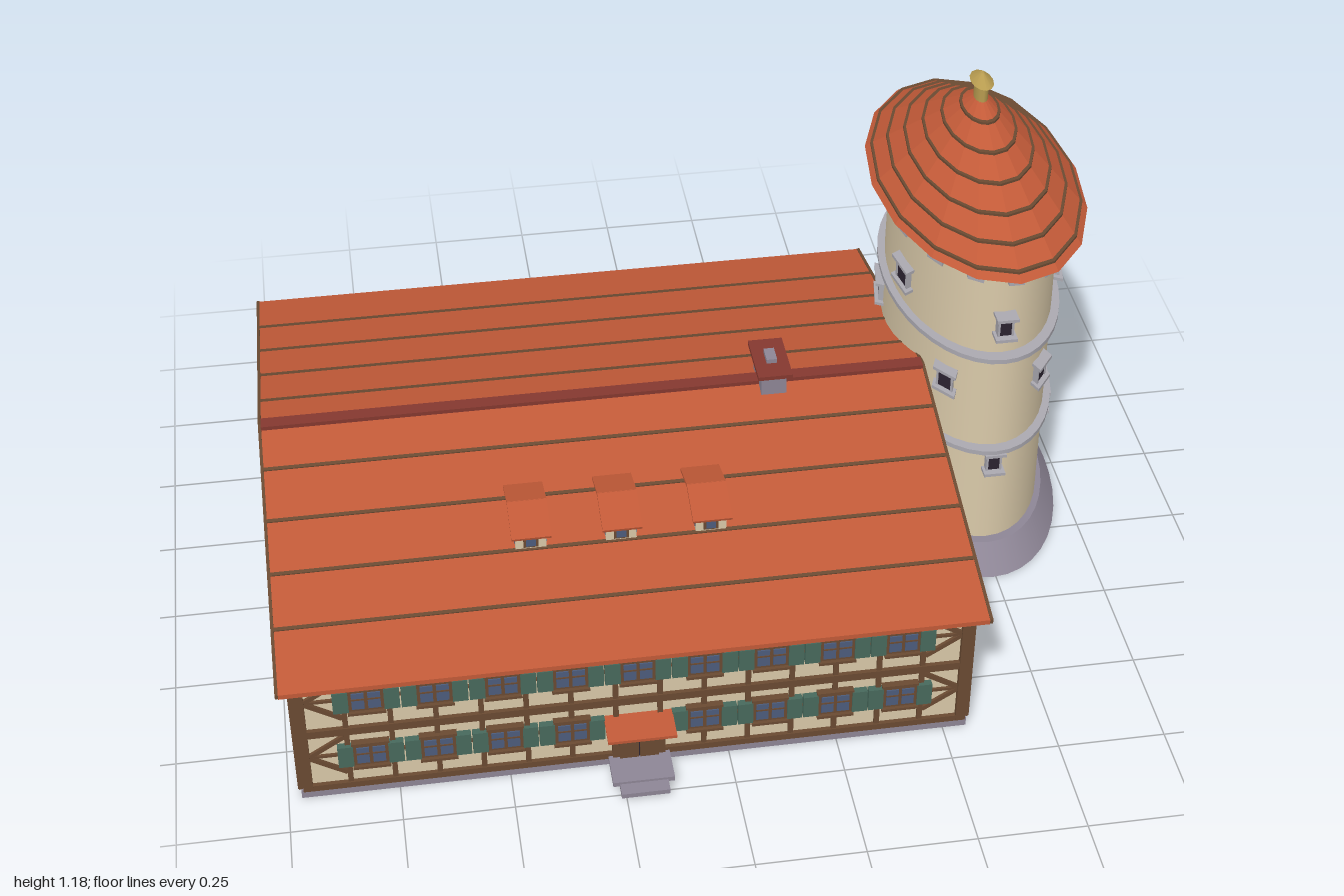
import * as THREE from 'three';

const mat = (name, color) => {
  const m = new THREE.MeshStandardMaterial({ color });
  m.name = name;
  return m;
};
const M = {
  wall: mat('cream plaster', 0xd8c8a8),
  timber: mat('brown timber', 0x6a4a32),
  roof: mat('terracotta tile', 0xc25a38),
  ridge: mat('dark red tile', 0x84382f),
  line: mat('tile course shadow brown', 0x5c2a1c),
  stone: mat('grey stone', 0x8d8595),
  trim: mat('light stone', 0xaaa8b0),
  shutter: mat('green shutter', 0x47695c),
  glass: mat('blue glass', 0x4c5c7c),
  gold: mat('brass', 0xb89c50),
};
const DARK = M.dark = mat('dark opening', 0x2b2230);
M.line = M.timber; // tile courses share the timber brown

function add(parent, name, geo, material, x = 0, y = 0, z = 0) {
  const mesh = new THREE.Mesh(geo, material);
  mesh.name = name;
  mesh.position.set(x, y, z);
  parent.add(mesh);
  return mesh;
}
const box = (parent, name, material, w, h, d, x, y, z) =>
  add(parent, name, new THREE.BoxGeometry(w, h, d), material, x, y, z);
function group(parent, name) {
  const g = new THREE.Group();
  g.name = name;
  parent.add(g);
  return g;
}
// Bar between two points on a wall face
function brace(parent, x1, y1, x2, y2) {
  const len = Math.hypot(x2 - x1, y2 - y1);
  box(parent, 'brace', M.timber, len, 0.011, 0.01, (x1 + x2) / 2, (y1 + y2) / 2, 0.002)
    .rotation.z = Math.atan2(y2 - y1, x2 - x1);
}
const flat = (geo) => {
  const g = geo.toNonIndexed();
  g.computeVertexNormals();
  return g;
};

const X0 = -0.965, X1 = 0.55, CX = (X0 + X1) / 2, CZ = -0.04, HZ = 0.685;
const RIDGE = 0.53, SLOPE = 0.23;
const FLOORS = [0.122, 0.288];

// Double window with a shutter on each side
function shutteredWindow(parent, x, y, bay) {
  const g = group(parent, 'window');
  g.position.set(x, y, 0);
  const w = bay * 0.52, s = bay * 0.23;
  box(g, 'windowFrame', M.timber, w, 0.064, 0.02, 0, 0, 0.002);
  for (const k of [-1, 1]) {
    box(g, 'pane', M.glass, w * 0.36, 0.046, 0.004, k * w * 0.23, 0, 0.013);
    box(g, 'glazingBar', M.timber, w * 0.37, 0.004, 0.004, k * w * 0.23, 0.006, 0.0145);
    box(g, 'shutter', M.shutter, s, 0.06, 0.016, k * (w / 2 + s / 2), 0, 0.008);
  }
  box(g, 'sill', M.timber, w * 1.08, 0.007, 0.026, 0, -0.034, 0.007);
  box(g, 'lintel', M.timber, w * 1.08, 0.006, 0.022, 0, 0.034, 0.005);
}

// One timber-framed facade; local +z points outward
function facade(parent, name, length, bays, bay, posts, cornerW, hasDoor) {
  const g = group(parent, name);
  for (const [y, h] of [[0.03, 0.016], [0.195, 0.02], [0.35, 0.018]])
    box(g, 'beam', M.timber, length, h, 0.016, 0, y, 0.002);
  for (const y of FLOORS) box(g, 'rail', M.timber, length, 0.007, 0.01, 0, y, 0.001);
  for (const k of [-1, 1])
    box(g, 'cornerPost', M.timber, cornerW, 0.335, 0.02, k * (length / 2 - cornerW / 2), 0.1925, 0.002);
  for (let i = 0; i < posts; i++)
    box(g, 'post', M.timber, 0.012, 0.33, 0.012, (i - (posts - 1) / 2) * 0.1, 0.19, 0.001);
  // Fanned braces in the end bays
  if (posts) for (const k of [-1, 1]) for (const y of FLOORS) {
    const a = k * 0.655, b = k * 0.74;
    brace(g, b, y, a, y + 0.055);
    brace(g, b, y, a, y - 0.055);
  }
  for (let i = 0; i < bays; i++) for (const y of FLOORS) {
    const x = (i - (bays - 1) / 2) * bay;
    if (hasDoor && Math.abs(x) < 0.01 && y < 0.2) continue;
    shutteredWindow(g, x, y, bay);
  }
  return g;
}

function hall(root) {
  const g = group(root, 'hall');
  box(g, 'foundation', M.stone, X1 - X0 + 0.01, 0.024, 2 * HZ + 0.01, CX, 0.012, CZ);
  box(g, 'walls', M.wall, X1 - X0, 0.34, 2 * HZ, CX, 0.19, CZ);

  const L = X1 - X0;
  facade(g, 'frontFacade', L, 9, 0.15, 14, 0.022, true).position.set(CX, 0, CZ + HZ);
  const back = facade(g, 'backFacade', L, 9, 0.15, 14, 0.022, false);
  back.position.set(CX, 0, CZ - HZ);
  back.rotation.y = Math.PI;
  for (const k of [-1, 1]) {
    const side = facade(g, 'sideFacade', 2 * HZ, 4, 0.273, 0, 0.042, false);
    side.position.set(k < 0 ? X0 : X1, 0, CZ);
    side.rotation.y = k * Math.PI / 2;
  }

  // Entrance
  const d = group(g, 'entrance');
  d.position.set(CX, 0, CZ + HZ);
  box(d, 'doorFrame', M.timber, 0.12, 0.115, 0.024, 0, 0.08, 0.004);
  for (const k of [-1, 1]) box(d, 'doorLeaf', M.timber, 0.043, 0.092, 0.008, k * 0.023, 0.072, 0.017);
  box(d, 'doorGap', DARK, 0.003, 0.092, 0.004, 0, 0.072, 0.016);
  box(d, 'canopy', M.roof, 0.155, 0.008, 0.085, 0, 0.143, 0.038).rotation.x = 0.06;
  box(d, 'upperStep', M.stone, 0.14, 0.012, 0.1, 0, 0.024, 0.045);
  box(d, 'lowerStep', M.stone, 0.11, 0.012, 0.13, 0, 0.018, 0.062);
}

// Extrude a profile drawn in depth and height along x
function alongX(points, x0, x1) {
  const s = new THREE.Shape(points.map(([a, y]) => new THREE.Vector2(a, y)));
  return new THREE.ExtrudeGeometry(s, { depth: x1 - x0, bevelEnabled: false })
    .rotateY(Math.PI / 2).translate(x0, 0, CZ);
}

function hallRoof(root) {
  const g = group(root, 'hallRoof');
  const E = 0.732, eave = RIDGE - SLOPE * E, t = 0.012;
  const chevron = [[-E, eave], [-E, eave - t], [0, RIDGE - t], [E, eave - t], [E, eave], [0, RIDGE]];
  add(g, 'roofSlopes', alongX(chevron, -0.993, 0.578), M.roof);
  for (const x of [-1, 0.578])
    add(g, 'bargeBoard', alongX(chevron.map(([a, y]) => [a, y + 0.002]), x, x + 0.007), M.timber);
  add(g, 'gableWalls', alongX([[-HZ, 0.36], [HZ, 0.36], [0, RIDGE - 0.008]], X0, X1), M.roof);
  // Tile courses
  const tilt = Math.atan(SLOPE);
  for (const k of [-1, 1]) for (let i = 1; i <= 4; i++) {
    const a = 0.145 * i - 0.015;
    box(g, 'tileCourse', M.line, 1.571, 0.006, 0.009, -0.2075, RIDGE - SLOPE * a, CZ + k * a)
      .rotation.x = k * tilt;
  }
  box(g, 'ridgeCap', M.ridge, 1.572, 0.012, 0.034, -0.2075, RIDGE, CZ);

  // Dormers
  for (const x of [-0.41, -0.205, 0]) {
    const d = group(g, 'dormer');
    d.position.set(x, 0, 0.31);
    box(d, 'dormerBody', M.wall, 0.07, 0.085, 0.14, 0, 0.445, 0);
    box(d, 'dormerWindow', M.timber, 0.034, 0.042, 0.006, 0, 0.462, 0.07);
    box(d, 'dormerPane', M.glass, 0.022, 0.036, 0.004, 0, 0.462, 0.072);
    for (const k of [-1, 1]) {
      box(d, 'cheekPane', M.glass, 0.004, 0.03, 0.04, k * 0.0345, 0.463, 0.045);
      box(d, 'dormerRoof', M.roof, 0.09, 0.007, 0.102, 0, 0.5, k * 0.047).rotation.x = k * 0.3;
    }
    add(d, 'dormerGable', alongX([[-0.085, 0.484], [0.085, 0.484], [0, 0.512]], -0.035, 0.035)
      .translate(0, 0, -CZ), M.roof);
  }

  // Chimney
  const c = group(g, 'chimney');
  c.position.set(0.21, 0, -0.045);
  box(c, 'stack', M.stone, 0.06, 0.08, 0.11, 0, 0.535, 0);
  box(c, 'chimneyCap', M.ridge, 0.082, 0.01, 0.148, 0, 0.58, 0);
  box(c, 'flue', M.stone, 0.025, 0.012, 0.045, 0, 0.59, 0);
}

// Round tower, stretched into an oval
function tower(root) {
  const g = group(root, 'tower');
  g.position.set(0.742, 0, -0.28);
  g.scale.z = 1.8;
  const cyl = (name, m, rt, rb, h, y, n = 40) =>
    add(g, name, new THREE.CylinderGeometry(rt, rb, h, n), m, 0, y, 0);
  cyl('plinth', M.stone, 0.21, 0.245, 0.06, 0.03);
  cyl('towerWall', M.wall, 0.19, 0.197, 0.85, 0.465);
  for (const y of [0.342, 0.617]) cyl('stringCourse', M.trim, 0.21, 0.21, 0.012, y);

  // Five windows per storey, alternate storeys turned half a step
  [0.305, 0.517, 0.708].forEach((y, row) => {
    for (let i = 0; i < 5; i++) {
      const w = group(g, 'towerWindow');
      w.rotation.y = (i + (row % 2) / 2) * Math.PI * 0.4;
      box(w, 'opening', DARK, 0.031, 0.05, 0.022, 0, y, 0.191);
      for (const k of [-1, 1]) {
        box(w, 'jamb', M.trim, 0.005, 0.05, 0.026, k * 0.0165, y, 0.191);
        box(w, 'ledge', M.trim, 0.052, 0.008, 0.034, 0, y + k * 0.028, 0.195);
      }
    }
  });

  // Eaves
  cyl('soffit', M.stone, 0.238, 0.238, 0.008, 0.888, 16);
  for (let i = 0; i < 16; i++) {
    const b = group(g, 'corbel');
    b.rotation.y = i * Math.PI / 8;
    box(b, 'corbelBlock', M.trim, 0.036, 0.022, 0.04, 0, 0.876, 0.212);
  }
  // Conical roof with tile courses
  add(g, 'towerRoof', flat(new THREE.ConeGeometry(0.25, 0.238, 16)), M.roof, 0, 1.011, 0);
  for (const f of [0.17, 0.33, 0.49, 0.65, 0.8, 0.94])
    add(g, 'towerTileCourse', flat(new THREE.CylinderGeometry(0.25 * f + 0.003, 0.25 * f + 0.003, 0.006, 16)),
      M.line, 0, 1.13 - 0.238 * f, 0);
  // Finial
  cyl('finialDrum', M.gold, 0.016, 0.016, 0.045, 1.137, 12);
  cyl('finialCap', M.gold, 0.004, 0.027, 0.022, 1.17, 12);
}

export function createModel() {
  const root = new THREE.Group();
  root.name = 'timberHallWithTower';
  hall(root);
  hallRoof(root);
  tower(root);
  return root;
}
